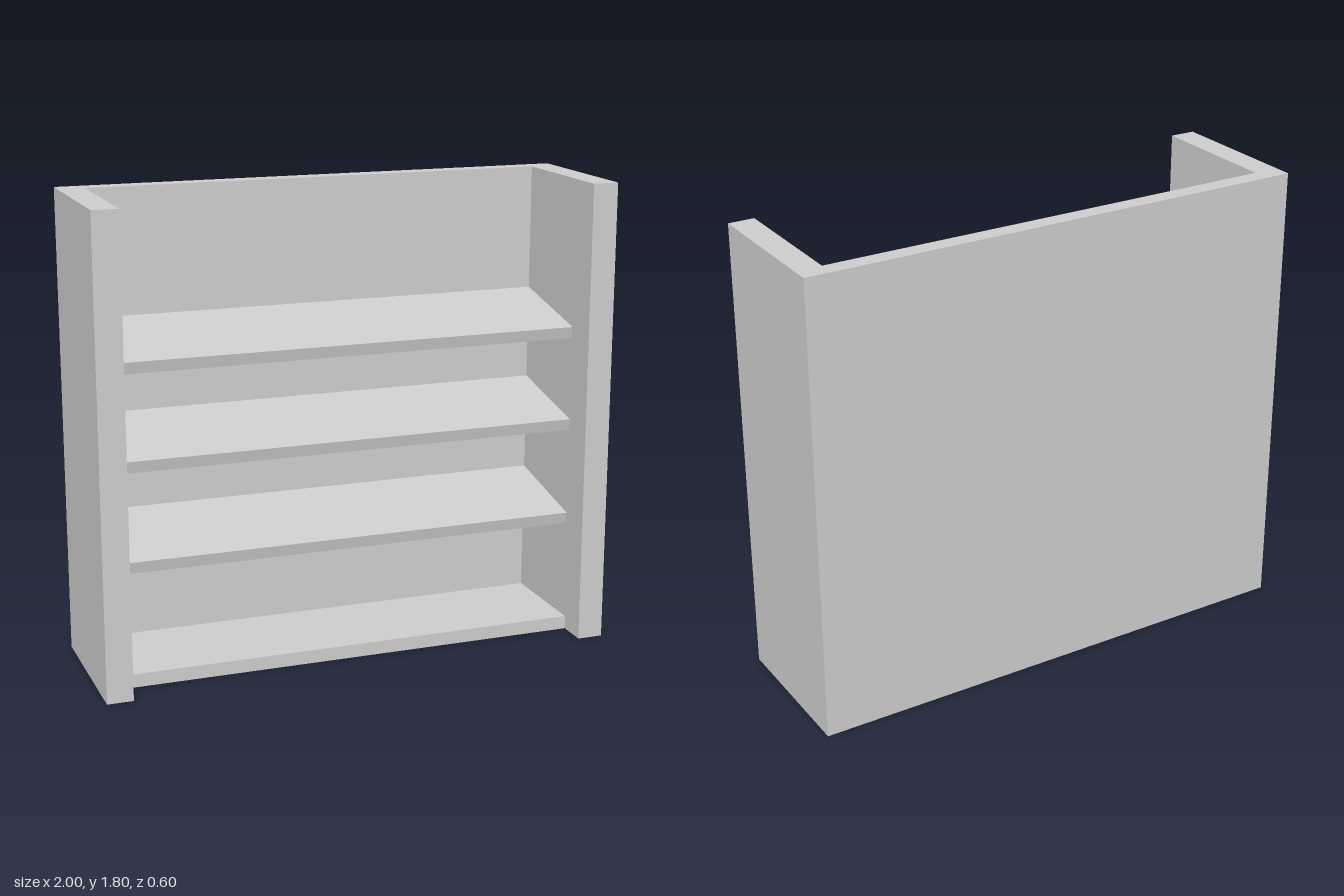
import * as THREE from 'three';

export function createModel() {
  const model = new THREE.Group();
  model.name = 'bookcase';
  const material = new THREE.MeshStandardMaterial({ color: 0xcccccc, flatShading: true });

  const addBoard = (parent, name, size, position) => {
    const mesh = new THREE.Mesh(new THREE.BoxGeometry(...size), material);
    mesh.name = name;
    mesh.position.set(...position);
    parent.add(mesh);
  };

  // Upright sides, back and base
  const height = 1.8, innerWidth = 1.8, backFace = -0.232;
  addBoard(model, 'leftSide', [0.1, height, 0.6], [0.95, height / 2, 0]);
  addBoard(model, 'rightSide', [0.1, height, 0.6], [-0.95, height / 2, 0]);
  addBoard(model, 'backPanel', [innerWidth, height, 0.3 + backFace], [0, height / 2, (backFace - 0.3) / 2]);
  addBoard(model, 'base', [innerWidth, 0.052, 0.18 - backFace], [0, 0.026, (0.18 + backFace) / 2]);

  // Display shelves sloping down to the front, hinged on their top rear edge
  const depth = 0.406, thickness = 0.046, slope = Math.atan2(0.086, 0.397);
  [0.567, 0.949, 1.316].forEach((y, i) => {
    const shelf = new THREE.Group();
    shelf.name = `slopedShelf${i + 1}`;
    shelf.position.set(0, y, backFace);
    shelf.rotation.x = slope;
    addBoard(shelf, 'shelfBoard', [innerWidth, thickness, depth], [0, -thickness / 2, depth / 2]);
    model.add(shelf);
  });

  return model;
}
